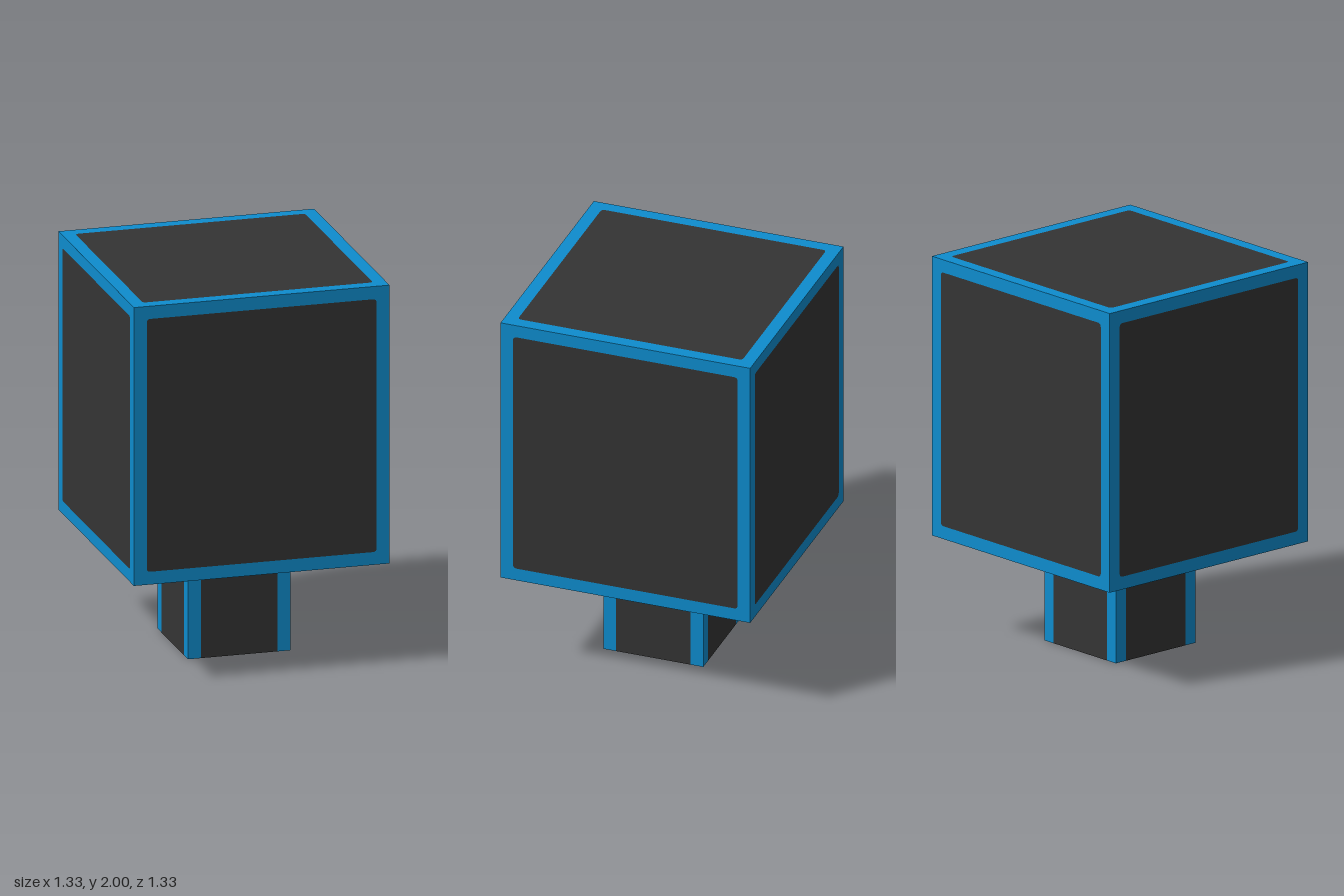
import * as THREE from 'three';

const HALF = 0.667, BOTTOM = 0.54, TOP = 2, BORDER = 0.067;
const POST = 0.267, POST_CORNER = 0.067;

// Rounded rectangle centred on the origin, given half sizes and corner radius
function roundedRect(w, h, r, PathType = THREE.Shape) {
  const p = new PathType();
  p.moveTo(-w + r, -h);
  p.lineTo(w - r, -h);
  p.absarc(w - r, -h + r, r, -Math.PI / 2, 0);
  p.lineTo(w, h - r);
  p.absarc(w - r, h - r, r, 0, Math.PI / 2);
  p.lineTo(-w + r, h);
  p.absarc(-w + r, h - r, r, Math.PI / 2, Math.PI);
  p.lineTo(-w, -h + r);
  p.absarc(-w + r, -h + r, r, Math.PI, Math.PI * 1.5);
  return p;
}

// One face of the head: a border frame with a flush inset panel
function headFace(name, w, h, blue, dark) {
  const face = new THREE.Group();
  face.name = name;
  const frame = new THREE.Shape([
    new THREE.Vector2(-w, -h), new THREE.Vector2(w, -h),
    new THREE.Vector2(w, h), new THREE.Vector2(-w, h),
  ]);
  frame.holes.push(roundedRect(w - BORDER, h - BORDER, 0.018, THREE.Path));
  const border = new THREE.Mesh(new THREE.ShapeGeometry(frame, 4), blue);
  border.name = name + 'Border';
  const inset = roundedRect(w - BORDER, h - BORDER, 0.018);
  const panel = new THREE.Mesh(new THREE.ShapeGeometry(inset, 4), dark);
  panel.name = name + 'Panel';
  face.add(border, panel);
  return face;
}

export function createModel() {
  const model = new THREE.Group();
  model.name = 'model';
  const blue = new THREE.MeshStandardMaterial({ color: 0x0e8ccd });
  blue.name = 'blue';
  const dark = new THREE.MeshStandardMaterial({ color: 0x343434 });
  dark.name = 'darkGrey';

  // Head: four sides, lid and underside
  const head = new THREE.Group();
  head.name = 'head';
  head.position.y = (BOTTOM + TOP) / 2;
  const halfHeight = (TOP - BOTTOM) / 2;
  ['front', 'left', 'back', 'right'].forEach((name, i) => {
    const a = i * Math.PI / 2;
    const face = headFace(name + 'Face', HALF, halfHeight, blue, dark);
    face.rotation.y = a;
    face.position.set(Math.sin(a) * HALF, 0, Math.cos(a) * HALF);
    head.add(face);
  });
  for (const [name, s] of [['topFace', 1], ['bottomFace', -1]]) {
    const face = headFace(name, HALF, HALF, blue, dark);
    face.rotation.x = -s * Math.PI / 2;
    face.position.y = s * halfHeight;
    head.add(face);
  }
  model.add(head);

  // Post: dark rounded core with a blue strip filling each corner
  const post = new THREE.Group();
  post.name = 'post';
  const options = { depth: BOTTOM, bevelEnabled: false, curveSegments: 6 };
  const coreShape = roundedRect(POST, POST, POST_CORNER);
  const core = new THREE.Mesh(new THREE.ExtrudeGeometry(coreShape, options), dark);
  core.name = 'postCore';
  core.rotation.x = -Math.PI / 2;
  post.add(core);

  const inner = POST - POST_CORNER;
  const corner = new THREE.Shape();
  corner.moveTo(POST, inner);
  corner.lineTo(POST, POST);
  corner.lineTo(inner, POST);
  corner.absarc(inner, inner, POST_CORNER, Math.PI / 2, 0, true);
  const cornerGeometry = new THREE.ExtrudeGeometry(corner, options);
  cornerGeometry.rotateX(-Math.PI / 2);
  for (let i = 0; i < 4; i++) {
    const strip = new THREE.Mesh(cornerGeometry, blue);
    strip.name = 'postCorner' + (i + 1);
    strip.rotation.y = i * Math.PI / 2;
    post.add(strip);
  }
  model.add(post);
  return model;
}
